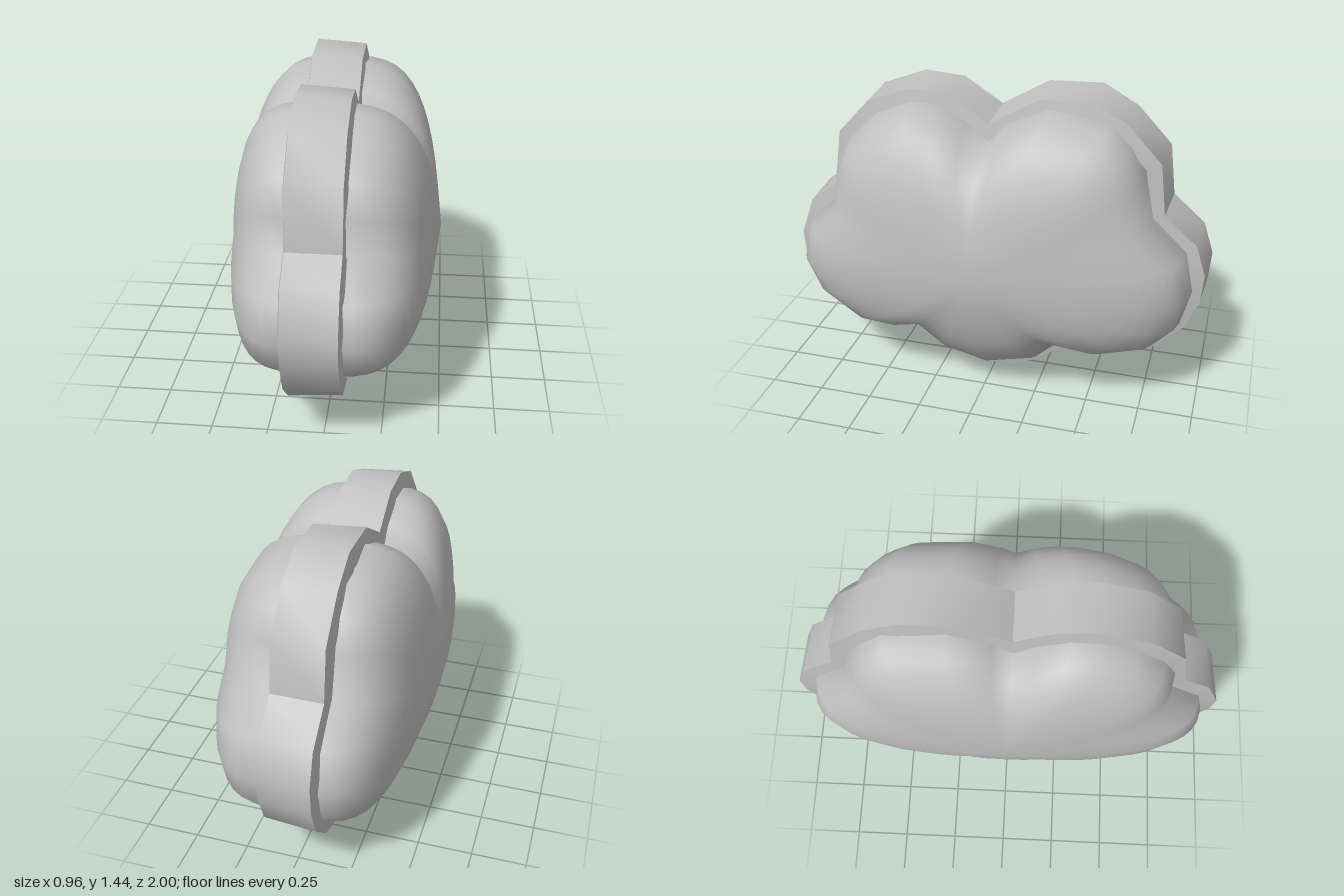
import * as THREE from 'three';
import { mergeVertices, toCreasedNormals } from 'three/addons/utils/BufferGeometryUtils.js';

// Outlines are given as [z, y], clockwise when seen from +x
const outline = (list) => list.map(([z, y]) => new THREE.Vector2(-z, y));

const BAND = outline([
  [1.0, 0.62], [0.93, 0.81], [0.8, 0.91], [0.76, 1.18], [0.6, 1.35], [0.39, 1.43], [0.2, 1.415],
  [0.02, 1.3], [-0.2, 1.43], [-0.45, 1.44], [-0.61, 1.35], [-0.77, 1.18], [-0.8, 0.94], [-0.95, 0.81],
  [-1.0, 0.66], [-0.99, 0.52], [-0.93, 0.37], [-0.8, 0.24], [-0.62, 0.175], [-0.4, 0.205],
  [-0.26, 0.08], [-0.1, 0], [0.1, 0.01], [0.26, 0.07], [0.4, 0.205], [0.6, 0.18], [0.78, 0.21],
  [0.92, 0.34], [0.99, 0.5],
]);

const RIM = outline([
  [0.94, 0.55], [0.9, 0.73], [0.75, 0.86], [0.74, 1.03], [0.68, 1.17], [0.55, 1.29], [0.39, 1.36],
  [0.26, 1.36], [0.12, 1.29], [0.02, 1.2], [-0.07, 1.3], [-0.26, 1.385], [-0.53, 1.34], [-0.63, 1.24],
  [-0.7, 1.12], [-0.74, 0.92], [-0.9, 0.77], [-0.94, 0.58], [-0.9, 0.42], [-0.8, 0.31], [-0.6, 0.245],
  [-0.38, 0.27], [-0.25, 0.13], [0, 0.05], [0.22, 0.12], [0.36, 0.27], [0.5, 0.235], [0.68, 0.25],
  [0.87, 0.39],
]);

// Move an outline inwards by an even distance
function inset(points, distance) {
  const n = points.length;
  const normal = (a, b) => {
    const d = b.clone().sub(a).normalize();
    return new THREE.Vector2(d.y, -d.x);
  };
  return points.map((p, i) => {
    const n1 = normal(points[(i + n - 1) % n], p);
    const n2 = normal(p, points[(i + 1) % n]);
    return p.clone().addScaledVector(n1.clone().add(n2), distance / (1 + n1.dot(n2)));
  });
}

// Skin a list of closed rings of Vector3, ordered from +x to -x
function loft(rings) {
  const n = rings[0].length;
  const index = [];
  for (let j = 0; j < rings.length - 1; j++) {
    for (let i = 0; i < n; i++) {
      const k = (i + 1) % n;
      const a = j * n + i, b = j * n + k, c = b + n, d = a + n;
      index.push(a, b, c, a, c, d);
    }
  }
  const geometry = new THREE.BufferGeometry().setFromPoints(rings.flat());
  geometry.setIndex(index);
  return geometry;
}

// Puffy body: rings fade from the lobed rim to a plain ellipse at each side
function bodyGeometry() {
  const centre = new THREE.Vector2(0, 0.68);
  const steps = 24;
  const rings = [];
  for (let j = 0; j <= steps; j++) {
    const s = j % steps === 0 ? 0 : Math.pow(Math.sin((j / steps) * Math.PI), 2 / 3);
    const left = j < steps / 2;
    rings.push(RIM.map((p) => {
      const v = p.clone().sub(centre);
      const radius = v.length();
      v.normalize();
      // The dome is rounder upwards and downwards than towards front and back,
      // and rises to a gentle peak in the middle of each side
      const upright = v.y < 0 ? 2.6 : left ? 3.2 : 3.6;
      const power = THREE.MathUtils.lerp(upright, 4, v.x * v.x);
      const bulge = (1 - 0.16 * s) * Math.pow(Math.max(0, 1 - Math.pow(s, power)), 1 / power);
      const ellipse = 1 / Math.hypot(v.x / 0.88, v.y / 0.62);
      const r = s * THREE.MathUtils.lerp(ellipse, radius, Math.pow(s, 0.7));
      return new THREE.Vector3(-0.03 + (left ? 0.51 : -0.45) * bulge, centre.y + v.y * r, -v.x * r);
    }));
  }
  const geometry = mergeVertices(loft(rings), 1e-5);
  geometry.computeVertexNormals();
  return geometry;
}

// Raised band around the middle, slightly tapered, its edges sunk into the body
function bandGeometry() {
  const ring = (x, distance) =>
    inset(BAND, distance).map((p) => new THREE.Vector3(x, p.y, -p.x));
  return toCreasedNormals(loft([
    ring(0.1, 0.08), ring(0.085, 0.015), ring(-0.15, 0), ring(-0.165, 0.08),
  ]), 0.7);
}

export function createModel() {
  const group = new THREE.Group();
  group.name = 'cloud';
  const grey = new THREE.MeshStandardMaterial({ color: 0xc0c0c0 });
  grey.name = 'light grey';

  const body = new THREE.Mesh(bodyGeometry(), grey);
  body.name = 'puffyBody';
  const band = new THREE.Mesh(bandGeometry(), grey);
  band.name = 'middleBand';

  group.add(body, band);
  return group;
}
